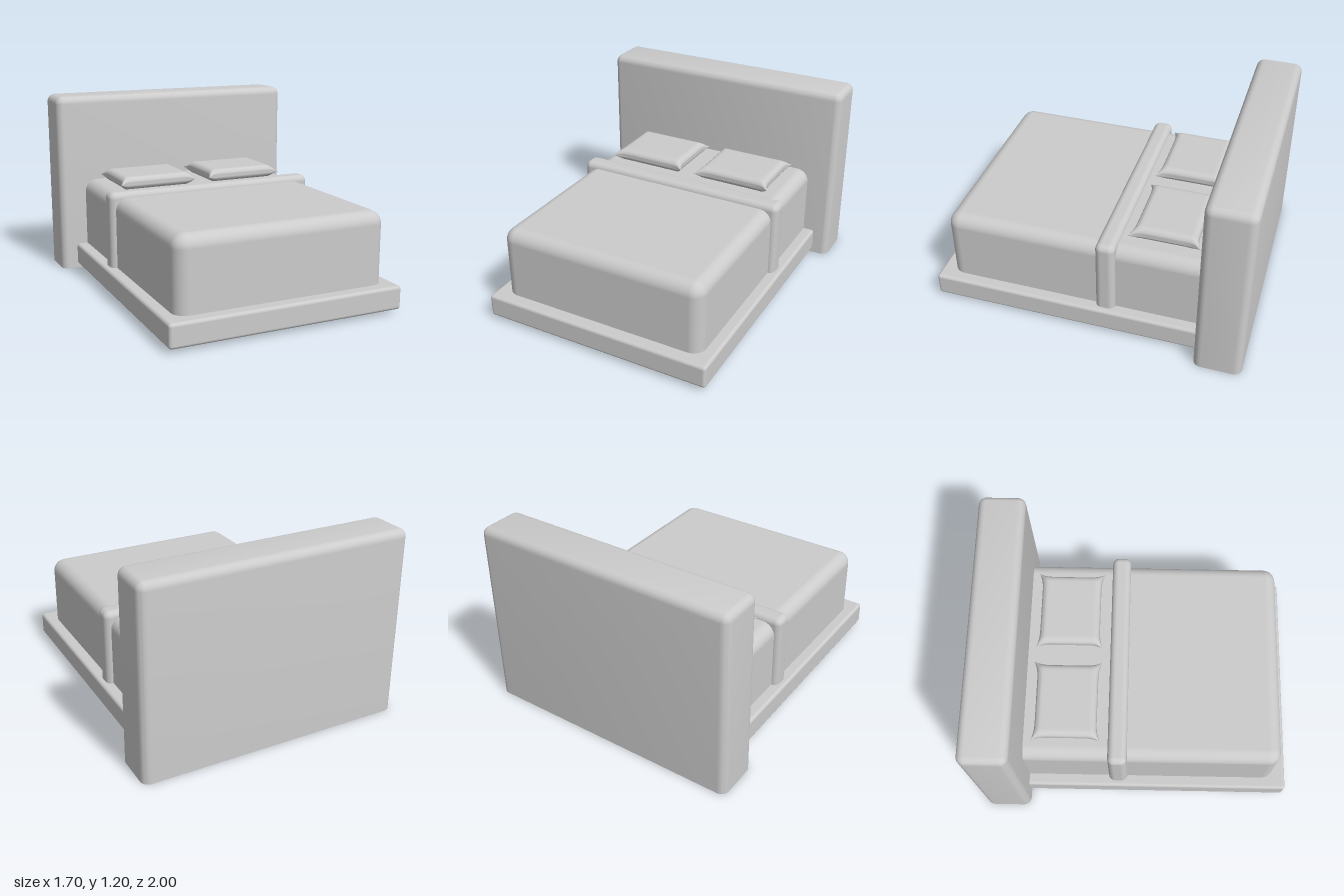
import * as THREE from 'three';
import { RoundedBoxGeometry } from 'three/addons/geometries/RoundedBoxGeometry.js';
import { toCreasedNormals } from 'three/addons/utils/BufferGeometryUtils.js';

const material = new THREE.MeshStandardMaterial({ color: 0xcccccc });

function addMesh(group, name, geometry) {
  const mesh = new THREE.Mesh(geometry, material);
  mesh.name = name;
  group.add(mesh);
  return mesh;
}

// Rounded block between two heights and two depths, centred on x
function block(halfWidth, y0, y1, z0, z1, radius) {
  const geometry = new RoundedBoxGeometry(2 * halfWidth, y1 - y0, z1 - z0, 5, radius);
  return geometry.translate(0, (y0 + y1) / 2, (z0 + z1) / 2);
}

// Rounded block whose underside is cut flat at floor level
function flatBottomBlock(halfWidth, y1, z0, z1, radius) {
  const geometry = block(halfWidth, -radius, y1, z0, z1, radius);
  const pos = geometry.attributes.position;
  for (let i = 0; i < pos.count; i++) pos.setY(i, Math.max(0, pos.getY(i)));
  return toCreasedNormals(geometry, 0.8);
}

// Flat cushion with rolled edges, a thin seam and corners drawn out to points
function pillowGeometry(halfX, halfZ, halfY, bevel) {
  const geometry = new THREE.BoxGeometry(2, 2, 2, 32, 1, 32);
  const pos = geometry.attributes.position;
  const roll = (distance) => {
    const t = Math.min(1, Math.max(0, distance / bevel));
    return Math.sqrt(t * (2 - t));
  };
  for (let i = 0; i < pos.count; i++) {
    const u = Math.sin(pos.getX(i) * Math.PI / 2);
    const w = Math.sin(pos.getZ(i) * Math.PI / 2);
    const height = halfY * roll(halfX * (1 - Math.abs(u))) * roll(halfZ * (1 - Math.abs(w)));
    const flare = 0.024 * Math.pow(Math.abs(u * w), 9);
    pos.setXYZ(i,
      halfX * u + Math.sign(u) * flare,
      Math.sign(pos.getY(i)) * height,
      halfZ * w + Math.sign(w) * flare);
  }
  return toCreasedNormals(geometry, 0.9);
}

export function createModel() {
  const bed = new THREE.Group();
  bed.name = 'bed';

  addMesh(bed, 'headboard', flatBottomBlock(0.85, 1.195, -1, -0.705, 0.05));
  addMesh(bed, 'bedFrame', block(0.745, 0.025, 0.172, -0.75, 1, 0.02));
  addMesh(bed, 'mattress', block(0.672, 0.06, 0.62, -0.8, 0.92, 0.08));

  // Folded blanket band across the mattress
  addMesh(bed, 'blanketFold', block(0.709, 0.1, 0.655, -0.174, -0.052, 0.04));

  // Pair of pillows
  const pillow = pillowGeometry(0.238, 0.194, 0.042, 0.04);
  for (const [name, x] of [['leftPillow', 0.306], ['rightPillow', -0.314]]) {
    addMesh(bed, name, pillow).position.set(x, 0.663, -0.438);
  }
  return bed;
}
